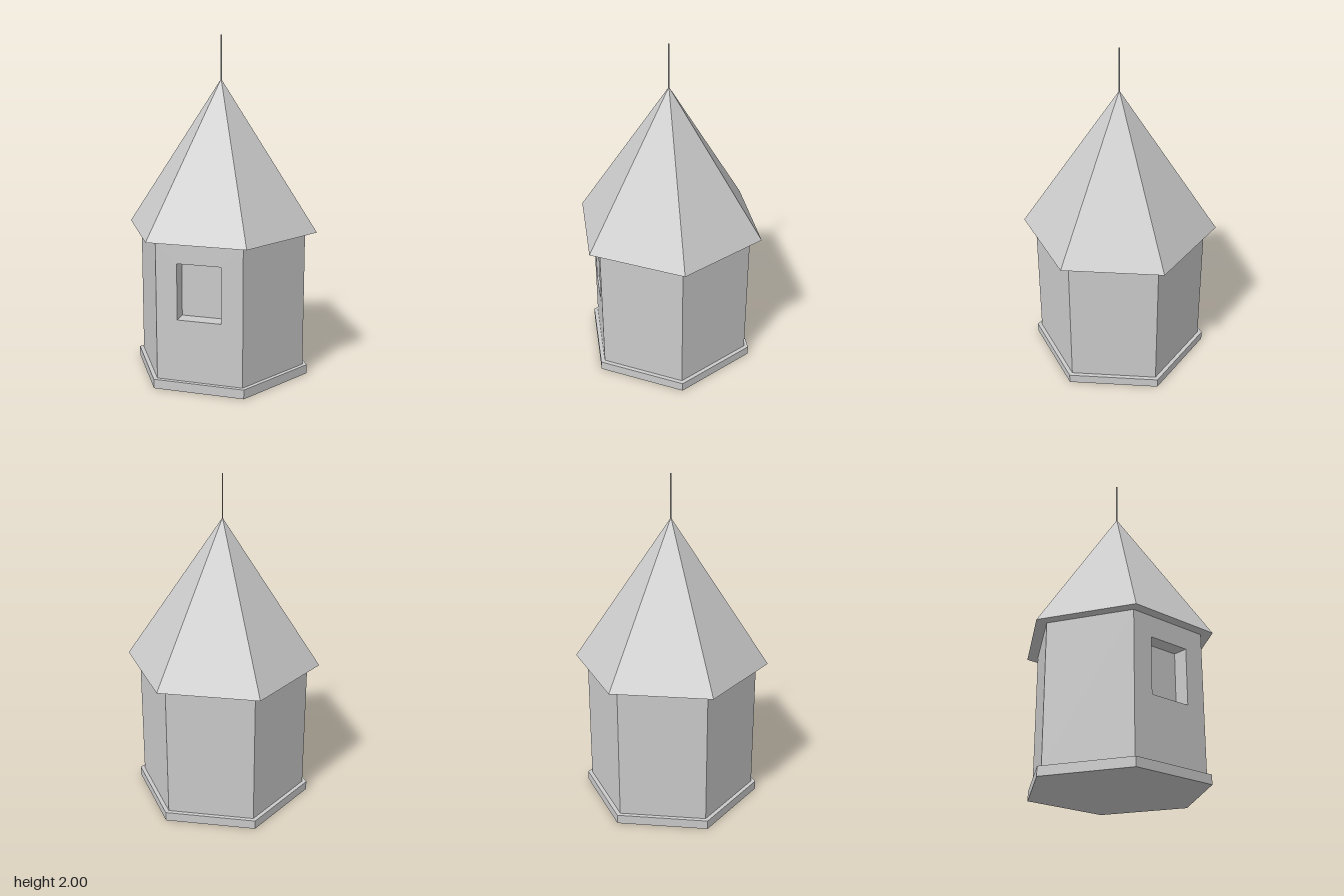
import * as THREE from 'three';

const material = new THREE.MeshStandardMaterial({ color: 0xcccccc, flatShading: true });
const twoSided = new THREE.MeshStandardMaterial({ color: 0xcccccc, flatShading: true, side: THREE.DoubleSide });

const WALL_R = 0.51, BASE_H = 0.055, EAVE = 0.875, APEX = 1.75;
const WIN = { w: 0.26, bottom: 0.42, top: 0.75, depth: 0.09 };

function add(parent, name, geometry, mat = material) {
  const mesh = new THREE.Mesh(geometry, mat);
  mesh.name = name;
  parent.add(mesh);
  return mesh;
}

// Six-sided prism or pyramid with corners on the x axis
function hexSolid(rTop, rBottom, y0, y1) {
  return new THREE.CylinderGeometry(rTop, rBottom, y1 - y0, 6, 1, false, Math.PI / 6)
    .translate(0, (y0 + y1) / 2, 0);
}

// One flat wall panel, optionally with a window opening
function wallPanel(hasWindow) {
  const h = WALL_R / 2;
  const shape = new THREE.Shape([
    new THREE.Vector2(-h, BASE_H), new THREE.Vector2(h, BASE_H),
    new THREE.Vector2(h, EAVE), new THREE.Vector2(-h, EAVE),
  ]);
  if (hasWindow) {
    const w = WIN.w / 2;
    shape.holes.push(new THREE.Path([
      new THREE.Vector2(-w, WIN.bottom), new THREE.Vector2(-w, WIN.top),
      new THREE.Vector2(w, WIN.top), new THREE.Vector2(w, WIN.bottom),
    ]));
  }
  return new THREE.ShapeGeometry(shape);
}

// Box without its front face: jambs, sill, head and back pane
function windowRecess() {
  const height = WIN.top - WIN.bottom;
  const geometry = new THREE.BoxGeometry(WIN.w, height, WIN.depth)
    .translate(0, WIN.bottom + height / 2, -WIN.depth / 2);
  const index = Array.from(geometry.index.array);
  index.splice(24, 6);
  geometry.setIndex(index);
  geometry.clearGroups();
  return geometry;
}

export function createModel() {
  const model = new THREE.Group();
  model.name = 'hexagonalTower';

  add(model, 'base', hexSolid(0.537, 0.537, 0, BASE_H));

  // Walls, with one recessed window on the front face towards -x
  const walls = new THREE.Group();
  walls.name = 'walls';
  model.add(walls);
  const apothem = WALL_R * Math.cos(Math.PI / 6);
  for (let i = 0; i < 6; i++) {
    const hasWindow = i === 5;
    const side = new THREE.Group();
    side.name = hasWindow ? 'windowWall' : 'wall' + (i + 1);
    const angle = i * Math.PI / 3;
    side.rotation.y = angle;
    side.position.set(Math.sin(angle) * apothem, 0, Math.cos(angle) * apothem);
    add(side, 'wallPanel', wallPanel(hasWindow), twoSided);
    if (hasWindow) add(side, 'windowRecess', windowRecess(), twoSided);
    walls.add(side);
  }

  // Pyramid roof with overhanging eaves, topped by a thin spire
  add(model, 'roof', hexSolid(0, 0.58, EAVE, APEX));
  add(model, 'spire', hexSolid(0.004, 0.004, APEX - 0.01, 2));

  return model;
}
